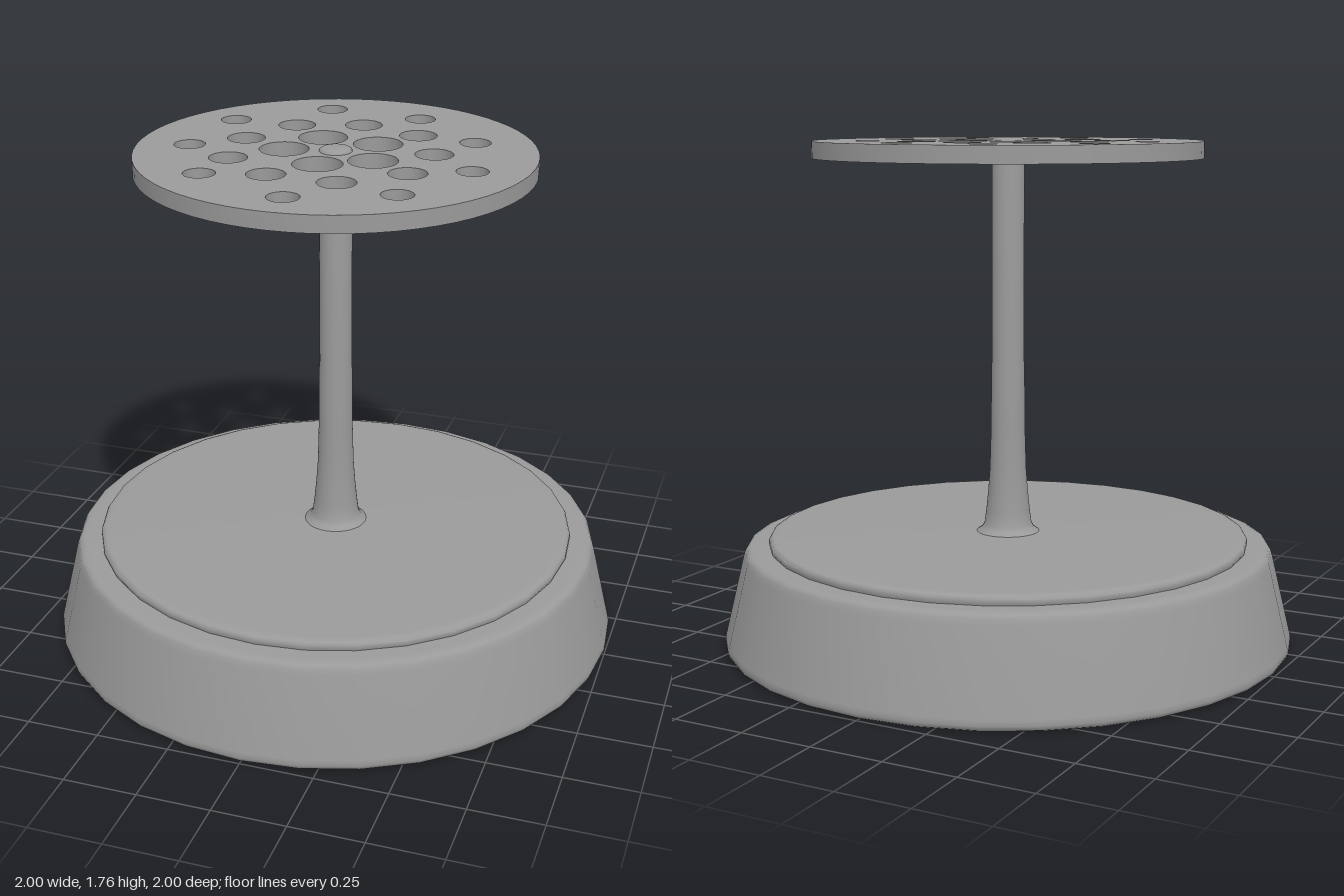
import * as THREE from 'three';
import { toCreasedNormals } from 'three/addons/utils/BufferGeometryUtils.js';

export function createModel() {
  const group = new THREE.Group();
  const material = new THREE.MeshStandardMaterial({ color: 0x9a9a9a });

  const add = (name, geometry) => {
    const mesh = new THREE.Mesh(toCreasedNormals(geometry, 0.9), material);
    mesh.name = name;
    group.add(mesh);
  };
  // Turned part from [radius, height] pairs, bottom to top
  const lathe = (name, profile, segments) =>
    add(name, new THREE.LatheGeometry(profile.map(([r, y]) => new THREE.Vector2(r, y)), segments));

  // Tapered foot with softly rounded rims
  lathe('base', [
    [0, 0], [0.965, 0], [0.982, 0.001], [0.994, 0.008], [1, 0.022], [0.996, 0.04],
    [0.93, 0.315], [0.924, 0.335], [0.917, 0.346], [0.904, 0.351], [0.885, 0.352], [0, 0.352],
  ], 32);

  // Thin raised disc on the foot
  lathe('baseDisc', [
    [0, 0.345], [0.835, 0.345], [0.842, 0.36], [0.841, 0.372], [0.836, 0.38],
    [0.826, 0.384], [0.81, 0.385], [0, 0.385],
  ], 32);

  // Stem with flared foot and a bevelled tip above the plate
  lathe('stem', [
    [0, 0.38], [0.11, 0.385], [0.092, 0.398], [0.083, 0.415], [0.077, 0.46], [0.07, 0.53],
    [0.064, 0.61], [0.06, 0.75], [0.058, 0.97], [0.056, 1.0],
    [0.056, 1.745], [0.054, 1.758], [0.046, 1.763], [0.038, 1.764], [0, 1.764],
  ], 32);

  // Round plate pierced by three loose rings of holes
  const rings = [
    { r: 0.083, at: [[-0.09, -0.14], [0.11, -0.12], [0.15, 0.07], [-0.01, 0.16], [-0.17, 0.03]] },
    { r: 0.064, at: [[-0.005, -0.33], [0.21, -0.26], [0.32, -0.06], [0.295, 0.17], [0.11, 0.33],
      [-0.13, 0.315], [-0.31, 0.18], [-0.335, -0.055], [-0.225, -0.26]] },
    { r: 0.053, at: [[-0.173, -0.495], [0.16, -0.465], [0.415, -0.235], [0.485, 0.085],
      [0.325, 0.39], [0, 0.52], [-0.335, 0.37], [-0.488, 0.075], [-0.45, -0.26]] },
  ];
  const disc = new THREE.Shape().absarc(0, 0, 0.67, 0, Math.PI * 2);
  for (const { r, at } of rings) {
    for (const [x, z] of at) disc.holes.push(new THREE.Path().absarc(x, z, r, 0, Math.PI * 2, true));
  }
  const plate = new THREE.ExtrudeGeometry(disc, { depth: 0.058, bevelEnabled: false, curveSegments: 32 });
  plate.rotateX(Math.PI / 2).translate(0, 1.752, 0);
  add('piercedPlate', plate);

  return group;
}
